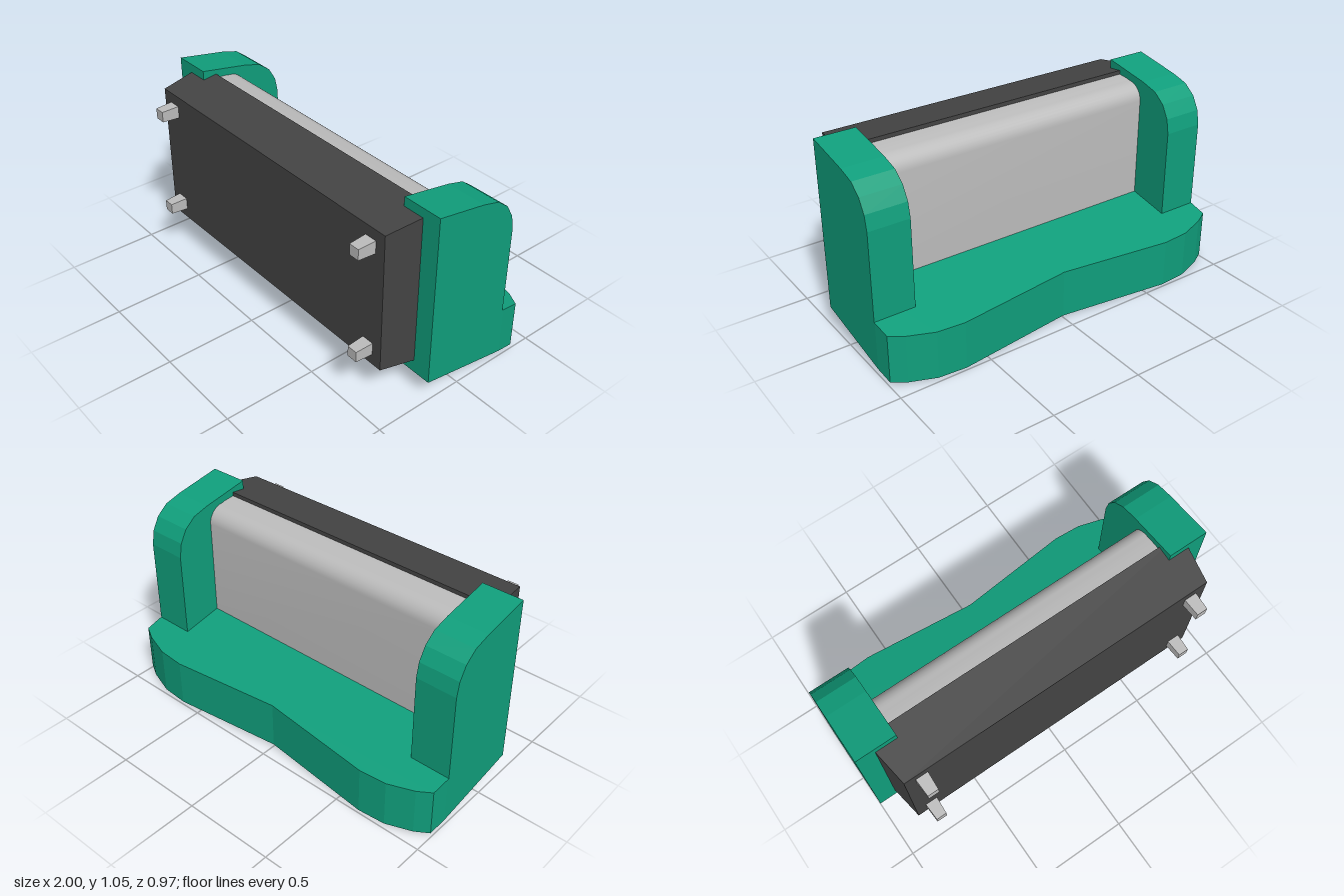
import * as THREE from 'three';
import { toCreasedNormals } from 'three/addons/utils/BufferGeometryUtils.js';

const makeMaterial = (name, color) => {
  const m = new THREE.MeshStandardMaterial({ color });
  m.name = name;
  return m;
};

// Box narrowing towards its front (+z) end
function taperedBox(back, front, z0, z1) {
  const geo = new THREE.BoxGeometry(2, 2, 1).toNonIndexed();
  const p = geo.attributes.position;
  for (let i = 0; i < p.count; i++) {
    const isFront = p.getZ(i) > 0;
    const [hx, hy] = isFront ? front : back;
    p.setXYZ(i, p.getX(i) * hx, p.getY(i) * hy, isFront ? z1 : z0);
  }
  geo.computeVertexNormals();
  return geo;
}

// Profile of [z, y] points extruded along x, starting at x = right and running left by width
function sideExtrude(points, right, width) {
  const shape = new THREE.Shape(points.map(([z, y]) => new THREE.Vector2(z, y)));
  const geo = new THREE.ExtrudeGeometry(shape, { depth: width, bevelEnabled: false });
  geo.rotateY(-Math.PI / 2);
  geo.translate(right, 0, 0);
  return geo;
}

export function createModel() {
  const group = new THREE.Group();
  const green = makeMaterial('green upholstery', 0x109f7c);
  const dark = makeMaterial('dark base', 0x444444);
  const grey = makeMaterial('light grey', 0xbcbcbc);

  const add = (name, geo, material, x = 0, y = 0) => {
    const mesh = new THREE.Mesh(geo, material);
    mesh.name = name;
    mesh.position.set(x, y, 0);
    group.add(mesh);
  };

  const slabBottom = (z) => 0.08 + 0.165 * z;
  const slabTop = (z) => 0.348 + 0.178 * z;

  // Backrest: wavy outline, sloping top and underside
  const half = [[1, -0.2], [1, 0.29], [0.993, 0.39], [0.92, 0.43], [0.78, 0.475], [0.63, 0.485]];
  const outline = [...half, [0, 0.42], ...half.map(([x, s]) => [-x, s]).reverse()];
  const slab = new THREE.ExtrudeGeometry(
    new THREE.Shape(outline.map(([x, s]) => new THREE.Vector2(x, s))),
    { depth: 1, bevelEnabled: false });
  slab.rotateX(-Math.PI / 2);
  const p = slab.attributes.position;
  for (let i = 0; i < p.count; i++) {
    const z = p.getZ(i);
    p.setY(i, THREE.MathUtils.lerp(slabBottom(z), slabTop(z), p.getY(i)));
  }
  slab.computeVertexNormals();
  add('backrest', slab, green);

  // Rounded armrests
  const armProfile = [
    [0.2, slabTop(0.2)], [0.2, 1.045], [-0.07, 1.0], [-0.165, 0.975], [-0.23, 0.925],
    [-0.27, 0.855], [-0.285, 0.775], [-0.285, slabTop(-0.285)],
  ];
  add('leftArmrest', sideExtrude(armProfile, 1, 0.22), green);
  add('rightArmrest', sideExtrude(armProfile, -0.78, 0.22), green);

  // Seat cushion with a softly rounded edge
  const cushionProfile = [[0.125, 0.3], [0.125, 0.985], [0.06, 0.98]];
  for (let i = 0; i <= 8; i++) {
    const a = (i / 8) * Math.PI / 2;
    cushionProfile.push([0.035 - 0.09 * Math.sin(a), 0.885 + 0.09 * Math.cos(a)]);
  }
  cushionProfile.push([-0.055, 0.3]);
  add('seatCushion', toCreasedNormals(sideExtrude(cushionProfile, 0.79, 1.58), 0.7), grey);

  // Tapered base
  add('base', taperedBox([0.912, 0.416], [0.87, 0.38], 0.12, 0.39), dark, 0, 0.59);

  // Feet
  for (const x of [-0.78, 0.78]) {
    for (const y of [0.302, 0.88]) {
      add('foot', taperedBox([0.034, 0.034], [0.029, 0.029], 0.385, 0.485), grey, x, y);
    }
  }
  return group;
}
